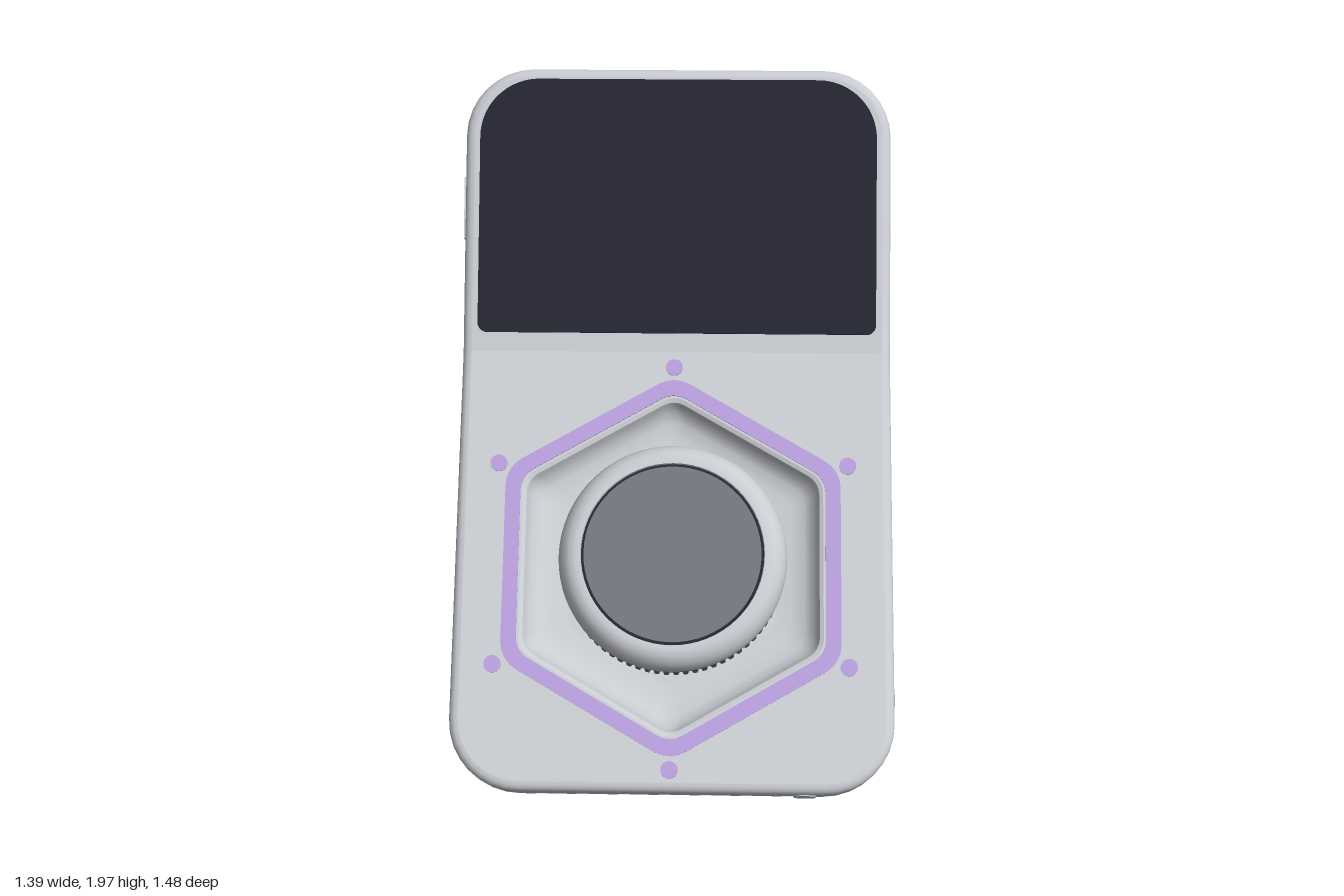
import * as THREE from 'three';
import { toCreasedNormals } from 'three/addons/utils/BufferGeometryUtils.js';

const mat = (name, color, side = THREE.FrontSide) => {
  const m = new THREE.MeshStandardMaterial({ color, side });
  m.name = name;
  return m;
};
const M = {
  shell: mat('light grey shell', 0xc9ccd1),
  panel: mat('back panel grey', 0xbdc1c4),
  dark: mat('screen black', 0x262633),
  purple: mat('lilac trim', 0xb79ddd),
  knob: mat('slate knob', 0x72767f),
  port: mat('port grey', 0xa4a7ab),
};

// The body is a slab with one bend. s runs along its front face (0 at the bend), d is depth behind it.
const BEND = { y: 1.2, z: -0.167 }, LOW = -0.706, UP = -0.5155;
const HALF_W = 0.69, S_MIN = -1.4, S_MAX = 0.925, R = 0.22, DEPTH = 0.207, SEAM = 0.1;
function place(x, s, d) {
  const a = Math.abs(s) < 1e-6 ? (LOW + UP) / 2 : s < 0 ? LOW : UP;
  const k = Math.abs(s) < 1e-6 ? d / Math.cos((LOW - UP) / 2) : d;
  return new THREE.Vector3(x,
    BEND.y + s * Math.cos(a) + k * Math.sin(a),
    BEND.z + s * Math.sin(a) - k * Math.cos(a));
}

// Rounded outline with outward normals, counter-clockwise from the front
function outline() {
  const pts = [];
  const arc = (cx, cs, a0) => {
    for (let i = 0; i <= 8; i++) {
      const a = a0 + (i / 8) * Math.PI / 2, nx = Math.cos(a), ns = Math.sin(a);
      pts.push({ x: cx + R * nx, s: cs + R * ns, nx, ns });
    }
  };
  const stations = [-1.0, -0.8, -0.6, -0.4, -0.25, -0.12, 0, 0.35];
  const side = (sign, list) => list.forEach(s => pts.push({ x: sign * HALF_W, s, nx: sign, ns: 0 }));
  const cx = HALF_W - R;
  arc(cx, S_MIN + R, -Math.PI / 2);
  side(1, stations);
  arc(cx, S_MAX - R, 0);
  arc(-cx, S_MAX - R, Math.PI / 2);
  side(-1, [...stations].reverse());
  arc(-cx, S_MIN + R, Math.PI);
  return pts;
}

// Closed rings joined into a skin
function loft(rings, crease = 0.6) {
  const n = rings[0].length, idx = [];
  for (let i = 0; i < rings.length - 1; i++) for (let j = 0; j < n; j++) {
    const a = i * n + j, b = i * n + (j + 1) % n;
    idx.push(a, a + n, b + n, a, b + n, b);
  }
  const g = new THREE.BufferGeometry().setFromPoints(rings.flat());
  g.setIndex(idx);
  return toCreasedNormals(g, crease);
}
// Flat convex cap
function fan(points) {
  const idx = [];
  for (let i = 1; i < points.length - 1; i++) idx.push(0, i, i + 1);
  const g = new THREE.BufferGeometry().setFromPoints(points);
  g.setIndex(idx);
  g.computeVertexNormals();
  return g;
}

// Hexagon with rounded corners, a point at the top
function hexPoints(apothem, r) {
  const pts = [], c = (apothem - r) / Math.cos(Math.PI / 6);
  for (let i = 0; i < 6; i++) for (let j = 0; j <= 4; j++) {
    const a = Math.PI / 2 + i * Math.PI / 3, b = a + (j / 4 - 0.5) * Math.PI / 3;
    pts.push(new THREE.Vector2(c * Math.cos(a) + r * Math.cos(b), c * Math.sin(a) + r * Math.sin(b)));
  }
  return pts;
}

function roundedShape(x0, y0, x1, y1, rb, rt) {
  const s = new THREE.Shape();
  s.moveTo(x0 + rb, y0).lineTo(x1 - rb, y0);
  s.absarc(x1 - rb, y0 + rb, rb, -Math.PI / 2, 0);
  s.absarc(x1 - rt, y1 - rt, rt, 0, Math.PI / 2);
  s.absarc(x0 + rt, y1 - rt, rt, Math.PI / 2, Math.PI);
  s.absarc(x0 + rb, y0 + rb, rb, Math.PI, Math.PI * 1.5);
  return s;
}
const plate = (shape, depth) =>
  new THREE.ExtrudeGeometry(shape, { depth, bevelEnabled: false, curveSegments: 12 });

function add(parent, name, geometry, material, x = 0, y = 0, z = 0) {
  const m = new THREE.Mesh(geometry, material);
  m.name = name;
  m.position.set(x, y, z);
  parent.add(m);
  return m;
}
// Disc or drum whose axis is the local z
const drum = (r, h, seg = 48) => new THREE.CylinderGeometry(r, r, h, seg).rotateX(Math.PI / 2);

export function createModel() {
  const model = new THREE.Group();
  model.name = 'handheldDevice';
  const section = (name, angle) => {
    const g = new THREE.Group();
    g.name = name;
    g.position.set(0, BEND.y, BEND.z);
    g.rotation.x = angle;
    model.add(g);
    return g;
  };
  const lower = section('lowerSection', LOW), upper = section('upperSection', UP);

  // Shell: small front fillet, seam groove, wide soft back fillet that narrows towards the bottom
  const pts = outline();
  const backInset = s => s >= 0 ? 0.2 : 0.045 + 0.155 * (1 + s / 1.4) ** 2;
  const ringAt = (inset, d) => pts.map(p => {
    const k = inset(p.s);
    return { x: p.x - k * p.nx, s: p.s - k * p.ns, d };
  });
  const rings = [], F = 0.03;
  for (let i = 0; i <= 4; i++) {
    const a = (i / 4) * Math.PI / 2;
    rings.push(ringAt(() => F * (1 - Math.sin(a)), F * (1 - Math.cos(a))));
  }
  for (const [k, d] of [[0, SEAM], [0.008, SEAM], [0.008, SEAM + 0.007]]) rings.push(ringAt(() => k, d));
  for (let i = 0; i <= 8; i++) {
    const a = (i / 8) * Math.PI / 2, d0 = SEAM + 0.007;
    rings.push(ringAt(s => backInset(s) * (1 - Math.cos(a)), d0 + (DEPTH - d0) * Math.sin(a)));
  }
  const world = ring => ring.map(p => place(p.x, p.s, p.d));
  add(model, 'shellSides', loft(rings.map(world)), M.shell);
  const front = rings[0], back = rings[rings.length - 1];
  add(model, 'upperFront', fan(world(front.filter(p => p.s >= 0))), M.shell);
  add(model, 'upperBack', fan(world(back.filter(p => p.s >= 0)).reverse()), M.shell);
  add(model, 'backPanel', fan(world(back.filter(p => p.s <= 0)).reverse()), M.panel);

  // Lower front face with its hexagonal opening
  const HX = -0.005, HS = -0.692;
  const face = new THREE.Shape(front.filter(p => p.s <= 0).map(p => new THREE.Vector2(p.x, p.s)));
  const shift = p => new THREE.Vector2(p.x + HX, p.y + HS);
  face.holes.push(new THREE.Path(hexPoints(0.476, 0.07).map(shift)));
  add(lower, 'lowerFront', new THREE.ShapeGeometry(face), M.shell);

  // Dished recess, lilac trim and marker dots
  const dial = new THREE.Group();
  dial.name = 'dial';
  dial.position.set(HX, HS, 0);
  lower.add(dial);
  const dish = [[0.33, -0.085], [0.38, -0.08], [0.42, -0.068], [0.446, -0.048], [0.458, -0.02], [0.464, -0.006], [0.476, 0]]
    .map(([a, z]) => hexPoints(a, 0.07).map(p => new THREE.Vector3(p.x, p.y, z)));
  add(dial, 'recessWall', loft(dish), M.shell);
  add(dial, 'recessFloor', fan(dish[0]), M.shell);
  const trim = new THREE.Shape(hexPoints(0.531, 0.1));
  trim.holes.push(new THREE.Path(hexPoints(0.483, 0.075)));
  add(dial, 'hexTrim', plate(trim, 0.008), M.purple, 0, 0, -0.004);
  for (let i = 0; i < 6; i++) {
    const a = Math.PI / 2 + i * Math.PI / 3;
    add(dial, 'markerDot', drum(0.027, 0.008, 24), M.purple, 0.64 * Math.cos(a), 0.64 * Math.sin(a), 0);
  }

  // Knob: core, ridged grip, rounded bezel and top disc
  const knob = new THREE.Group();
  knob.name = 'knob';
  knob.position.x = -HX;
  dial.add(knob);
  add(knob, 'knobCore', drum(0.33, 0.1), M.knob, 0, 0, -0.04);
  const teeth = [];
  for (let i = 0; i < 72; i++) [[0, 0.337], [0.25, 0.349], [0.65, 0.349], [0.9, 0.337]].forEach(([o, r]) => {
    const a = (i + o) / 72 * Math.PI * 2;
    teeth.push(new THREE.Vector2(r * Math.cos(a), r * Math.sin(a)));
  });
  add(knob, 'knobGrip', plate(new THREE.Shape(teeth), 0.09), M.knob);
  const bezel = [[0.33, 0.088], [0.35, 0.09], [0.353, 0.11], [0.349, 0.135], [0.337, 0.16], [0.318, 0.178],
    [0.298, 0.186], [0.282, 0.186], [0.279, 0.17]].map(([r, h]) => new THREE.Vector2(r, h));
  add(knob, 'knobBezel', toCreasedNormals(new THREE.LatheGeometry(bezel, 64).rotateX(Math.PI / 2), 0.7), M.shell);
  add(knob, 'knobGap', drum(0.281, 0.006, 64), M.dark, 0, 0, 0.173);
  add(knob, 'knobDisc', drum(0.272, 0.01, 64), M.knob, 0, 0, 0.179);

  // Screen
  add(upper, 'screen', plate(roundedShape(-0.642, 0.06, 0.642, 0.886, 0.03, 0.19), 0.009), M.dark, 0, 0, 0.001);

  // Rear camera
  const ring = [[0.105, -0.17], [0.105, -0.235], [0.099, -0.241], [0.086, -0.241], [0.083, -0.232]]
    .map(([r, h]) => new THREE.Vector2(r, -h));
  add(upper, 'cameraRing', toCreasedNormals(new THREE.LatheGeometry(ring, 40).rotateX(-Math.PI / 2), 0.5), M.shell, 0.38, 0.587, 0);
  add(upper, 'cameraLens', drum(0.085, 0.03, 40), M.dark, 0.38, 0.587, -0.22);

  // Side button and the two ports
  add(upper, 'sideButton', new THREE.BoxGeometry(0.02, 0.2, 0.05), M.shell, -0.686, 0.47, -0.06);
  const slot = roundedShape(-0.058, -0.034, 0.058, 0.034, 0.0339, 0.0339);
  add(lower, 'sidePort', plate(slot, 0.006).rotateY(Math.PI / 2), M.port, HALF_W - 0.004, -1.104, -0.092);
  add(lower, 'bottomPort', plate(slot, 0.006).rotateZ(Math.PI / 2).rotateX(Math.PI / 2), M.shell, 0.415, S_MIN + 0.003, -0.1);

  // Stand on the ground and centre
  const box = new THREE.Box3().setFromObject(model, true);
  model.position.set(0, -box.min.y, -(box.min.z + box.max.z) / 2);
  return model;
}
